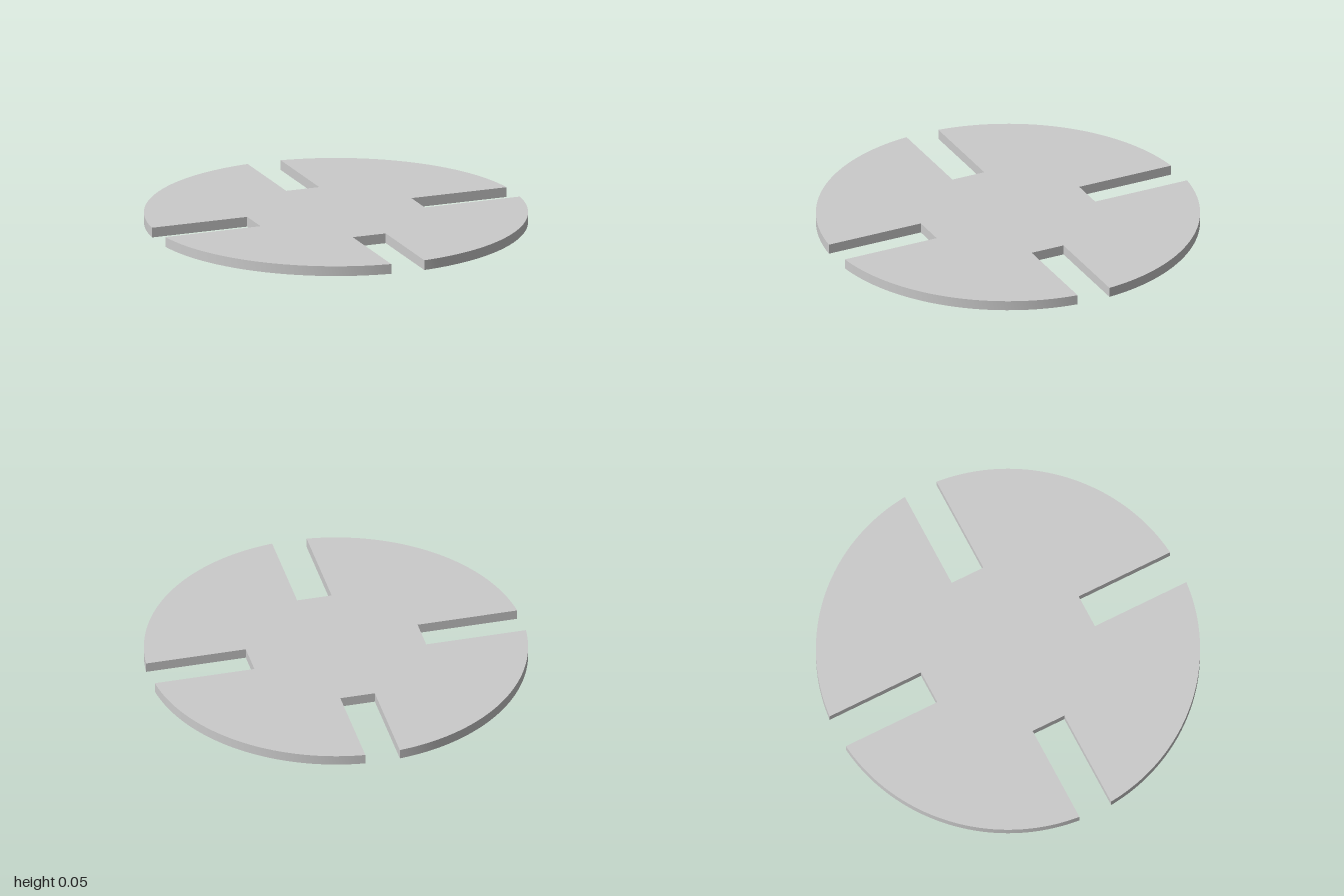
import * as THREE from 'three';
import { toCreasedNormals } from 'three/addons/utils/BufferGeometryUtils.js';

const THICKNESS = 0.053;
const SLOT_HALF = 0.093; // half the slot width
const SLOT_END = 0.463; // distance from centre to slot floor
const RADIUS = Math.hypot(1, SLOT_HALF); // slot mouths lie at distance 1

// Disc outline: four arcs, each followed by a square-ended slot
function slottedOutline() {
  const shape = new THREE.Shape();
  const mouth = Math.asin(SLOT_HALF / RADIUS);
  for (let i = 0; i < 4; i++) {
    const start = i * Math.PI / 2;
    const end = start + Math.PI / 2;
    shape.absarc(0, 0, RADIUS, start + mouth, end - mouth, false);
    const c = Math.cos(end), s = Math.sin(end);
    for (const side of [-SLOT_HALF, SLOT_HALF]) {
      shape.lineTo(SLOT_END * c - side * s, SLOT_END * s + side * c);
    }
  }
  shape.closePath();
  return shape;
}

export function createModel() {
  const group = new THREE.Group();
  group.name = 'slottedDisc';

  // Flat plate, laid down so its underside rests on y = 0
  const plate = new THREE.ExtrudeGeometry(slottedOutline(), {
    depth: THICKNESS, bevelEnabled: false, curveSegments: 20,
  });
  plate.rotateX(-Math.PI / 2);

  const mesh = new THREE.Mesh(
    toCreasedNormals(plate, 0.5),
    new THREE.MeshStandardMaterial({ color: 0xcccccc }),
  );
  mesh.name = 'plate';
  group.add(mesh);
  return group;
}
